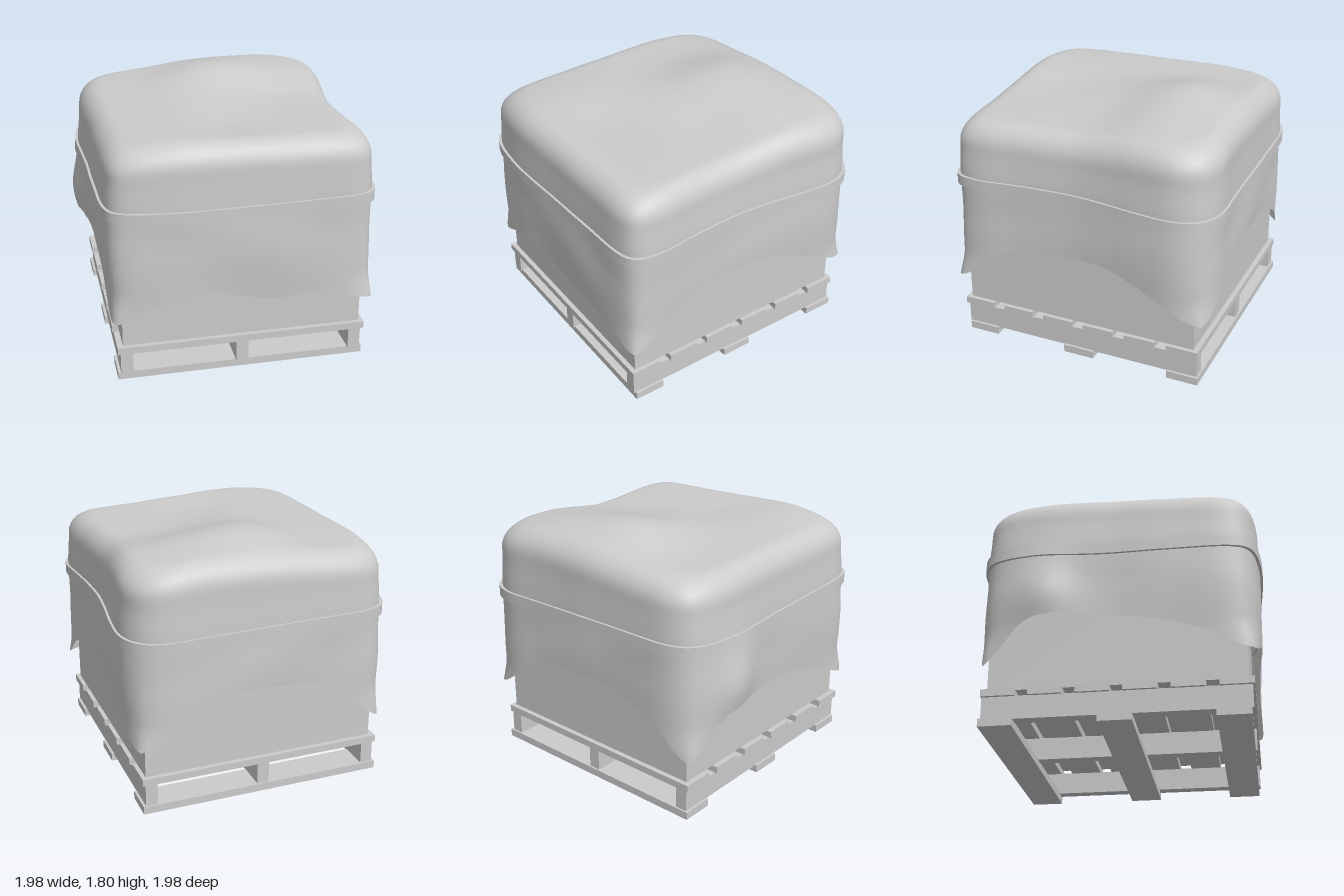
import * as THREE from 'three';
import { toCreasedNormals } from 'three/addons/utils/BufferGeometryUtils.js';

const COLS = 240;
const EDGE = 0.17; // rounding of the cover's top edge

const { lerp, clamp, smoothstep } = THREE.MathUtils;

// Smooth (Catmull-Rom) sampling of evenly spaced values, t in -1..1
function sample(v, t) {
  const f = clamp((t + 1) / 2, 0, 1) * (v.length - 1);
  const i = Math.min(Math.floor(f), v.length - 2), u = f - i;
  const a = v[Math.max(i - 1, 0)], b = v[i], c = v[i + 1], d = v[Math.min(i + 2, v.length - 1)];
  return b + 0.5 * u * (c - a + u * (2 * a - 5 * b + 4 * c - d + u * (3 * (b - c) + d - a)));
}

// How far the cover reaches on each side, along that side from - to +
const REACH = {
  left: [0.93, 0.965, 0.95, 0.92, 0.90, 0.905, 0.92, 0.94, 0.925],
  right: [0.89, 0.92, 0.935, 0.93, 0.92, 0.92, 0.915, 0.91, 0.89],
  front: [0.92, 0.955, 0.975, 0.97, 0.955, 0.945, 0.935, 0.93, 0.915],
  back: [0.905, 0.935, 0.945, 0.95, 0.955, 0.955, 0.96, 0.97, 0.945],
};

// Height of the draped hem along each side
const HEM = {
  left: [0.48, 0.60, 0.71, 0.78, 0.79, 0.785, 0.77, 0.66, 0.47],
  right: [0.42, 0.67, 0.74, 0.74, 0.72, 0.70, 0.65, 0.57, 0.45],
  front: [0.45, 0.56, 0.62, 0.635, 0.585, 0.54, 0.55, 0.53, 0.47],
  back: [0.42, 0.63, 0.74, 0.80, 0.82, 0.82, 0.76, 0.64, 0.48],
};

// Heights of the sagging top: rows back to front, columns from -x to +x
const TOP = [
  [1.66, 1.69, 1.73, 1.74, 1.71],
  [1.68, 1.70, 1.80, 1.765, 1.71],
  [1.68, 1.695, 1.715, 1.68, 1.66],
  [1.67, 1.70, 1.67, 1.67, 1.66],
  [1.66, 1.70, 1.69, 1.67, 1.66],
];
const topHeight = (x, z) => sample(TOP.map((row) => sample(row, x / 0.9)), z / 0.9);

// Unit rounded square, tighter at the front corners
function outline(a) {
  const c = Math.cos(a), s = Math.sin(a), n = s > 0 ? 15 : 11;
  const r = Math.pow(Math.abs(c) ** n + Math.abs(s) ** n, -1 / n);
  return [c * r, s * r];
}

function hemHeight(a) {
  const [u, w] = outline(a);
  if (Math.abs(u) > Math.abs(w)) return sample(u > 0 ? HEM.left : HEM.right, w / 0.95);
  return sample(w > 0 ? HEM.front : HEM.back, u / 0.95);
}

// Point on the cover's wall at angle a and height y; k shrinks it toward the middle
function wallPoint(a, y, k = 1, out = 0) {
  const [u, w] = outline(a);
  let rx = sample(u > 0 ? REACH.left : REACH.right, w);
  let rz = sample(w > 0 ? REACH.front : REACH.back, u);
  const inner = Math.min(Math.abs(u), Math.abs(w));
  const corner = inner ** 3;
  const low = 1 - smoothstep(y, 0.4, 0.95);
  // Loose cloth: tucks in low on the faces, flares at the corner tips
  const flare = 0.045 * inner ** 8 * (1 - smoothstep(y, 0.42, 0.68));
  const fold = 0.02 * corner * smoothstep(u, -0.5, 0.5) * smoothstep(1.2 - y, 0, 0.5);
  const ripple = 0.008 * Math.sin(5 * u + 3 * w + 4 * y) * smoothstep(1.25 - y, 0, 0.3);
  const loose = fold + flare + ripple - 0.025 * low * (1 - corner);
  // Draws in slightly above the strap
  const above = 0.015 * smoothstep(y, 1.25, 1.5);
  rx += loose - above;
  rz += loose - above * 0.5;
  // Large billow at the back of the right side
  if (u < 0) rx += 0.065 * Math.exp(-(((w + 0.55) / 0.22) ** 2) - ((y - 0.9) / 0.25) ** 2);
  return [u * (rx + out) * k, y, w * (rz + out) * k];
}

// Skin a stack of closed rings; ring(a) gives a point for each angle
function loft(rings) {
  const pos = [], idx = [];
  rings.forEach((ring, r) => {
    for (let c = 0; c < COLS; c++) {
      pos.push(...ring((c / COLS) * Math.PI * 2));
      if (r === rings.length - 1) continue;
      const p = r * COLS + c, q = r * COLS + ((c + 1) % COLS);
      idx.push(p, p + COLS, q, q, p + COLS, q + COLS);
    }
  });
  const g = new THREE.BufferGeometry();
  g.setAttribute('position', new THREE.Float32BufferAttribute(pos, 3));
  g.setIndex(idx);
  g.computeVertexNormals();
  return g;
}

function coverGeometry() {
  const rings = [];
  const shoulder = (a) => {
    const p = wallPoint(a, 1.5);
    return topHeight(p[0], p[2]) - EDGE;
  };
  // Hanging walls
  for (let i = 0; i < 28; i++) {
    rings.push((a) => wallPoint(a, lerp(hemHeight(a), shoulder(a), i / 28)));
  }
  // Rounded shoulder, then the top closing on the middle
  const cap = (k, drop) => (a) => {
    const p = wallPoint(a, 1.5, k);
    return [p[0], topHeight(p[0], p[2]) - drop, p[2]];
  };
  for (let i = 0; i <= 8; i++) {
    const t = (i / 8) * Math.PI / 2;
    rings.push(cap(1 - EDGE * (1 - Math.cos(t)), EDGE * (1 - Math.sin(t))));
  }
  for (let i = 1; i <= 18; i++) rings.push(cap((1 - EDGE) * (1 - i / 18), 0));
  return loft(rings);
}

function strapGeometry() {
  const ring = (y, out) => (a) => wallPoint(a, y + 0.006 * Math.sin(3 * a + 1), 1, out);
  return toCreasedNormals(
    loft([ring(1.19, -0.01), ring(1.19, 0.017), ring(1.265, 0.017), ring(1.265, -0.01)]), 0.7);
}

export function createModel() {
  const model = new THREE.Group();
  const solid = new THREE.MeshStandardMaterial({ color: 0xcccccc });
  const cloth = new THREE.MeshStandardMaterial({ color: 0xcccccc, side: THREE.DoubleSide });

  const add = (name, geometry, material, parent = model) => {
    const mesh = new THREE.Mesh(geometry, material);
    mesh.name = name;
    parent.add(mesh);
    return mesh;
  };
  // Box from its limits on each axis
  const block = (name, x0, x1, y0, y1, z0, z1, parent) =>
    add(name, new THREE.BoxGeometry(x1 - x0, y1 - y0, z1 - z0), solid, parent)
      .position.set((x0 + x1) / 2, (y0 + y1) / 2, (z0 + z1) / 2);

  // Pallet
  const pallet = new THREE.Group();
  pallet.name = 'pallet';
  model.add(pallet);
  for (const z of [-0.785, 0, 0.765]) block('bottomBoard', -0.86, 0.89, 0, 0.055, z - 0.113, z + 0.113, pallet);
  for (const x of [-0.797, 0.013, 0.828]) block('stringer', x - 0.043, x + 0.043, 0.05, 0.212, -0.885, 0.89, pallet);
  for (let i = 0; i < 6; i++) {
    const z = -0.777 + i * 0.3135;
    block('topBoard', -0.86, 0.89, 0.21, 0.26, z - 0.113, z + 0.113, pallet);
  }

  // Crate, its cover and the strap around it
  block('crate', -0.82, 0.86, 0.26, 1.5, -0.855, 0.87);
  add('cover', coverGeometry(), cloth);
  add('strap', strapGeometry(), cloth);
  return model;
}
